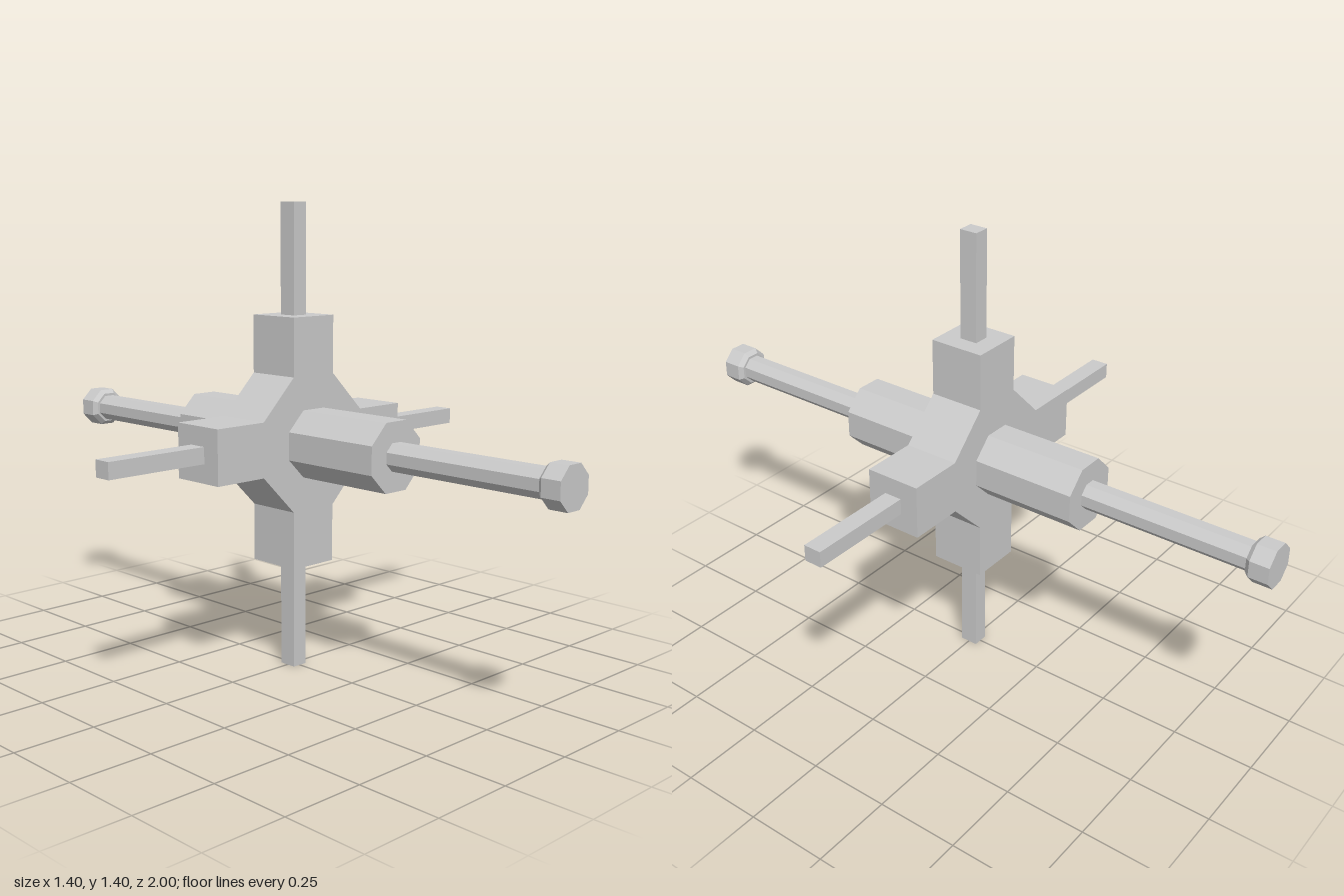
import * as THREE from 'three';

const CENTER_Y = 0.702;

export function createModel() {
  const model = new THREE.Group();
  const core = new THREE.Group();
  core.name = 'core';
  core.position.y = CENTER_Y;
  model.add(core);

  const material = new THREE.MeshStandardMaterial({ color: 0xcccccc, flatShading: true });
  const add = (name, geometry) => {
    const mesh = new THREE.Mesh(geometry, material);
    mesh.name = name;
    core.add(mesh);
    return mesh;
  };

  // Cross-shaped hub with chamfered inner corners
  const half = 0.081, reach = 0.373, web = 0.2, depth = 0.172;
  const quarter = [[reach, -half], [reach, half], [web, half], [half, web]];
  const outline = [];
  for (let i = 0; i < 4; i++) {
    for (const [x, y] of quarter) {
      outline.push(new THREE.Vector2(x, y).rotateAround(new THREE.Vector2(), i * Math.PI / 2));
    }
    // chamfer end of the next arm's near side
    outline.push(new THREE.Vector2(web, -half).rotateAround(new THREE.Vector2(), (i + 1) * Math.PI / 2));
  }
  // the chamfer corner coincides with the arm's own corner, so drop duplicates
  const clean = outline.filter((p, i) => p.distanceTo(outline[(i + 1) % outline.length]) > 1e-4);
  const hub = new THREE.ExtrudeGeometry(new THREE.Shape(clean), { depth, bevelEnabled: false });
  hub.translate(0, 0, -depth / 2);
  add('crossHub', hub);

  // Four thin square rods, one from each arm
  const inner = reach - 0.03, outer = 0.702;
  ['leftRod', 'topRod', 'rightRod', 'bottomRod'].forEach((name, i) => {
    const rod = new THREE.BoxGeometry(outer - inner, 0.049, 0.056);
    rod.translate((inner + outer) / 2, 0, 0);
    rod.rotateZ(i * Math.PI / 2);
    add(name, rod);
  });

  // Octagonal parts along z; radii are measured to the flats
  const octagon = (profile) => {
    const k = 1 / Math.cos(Math.PI / 8);
    const points = profile.map(([r, z]) => new THREE.Vector2(r * k, z));
    return new THREE.LatheGeometry(points, 8, Math.PI / 8).rotateX(Math.PI / 2);
  };
  add('barrel', octagon([[0, -0.412], [0.1, -0.412], [0.1, 0.412], [0, 0.412]]));

  // Front and back shafts with tapered end caps
  ['front', 'back'].forEach((side, i) => {
    const shaft = add(side + 'Shaft', octagon([[0.04, 0.4], [0.04, 0.95]]));
    const cap = add(side + 'Cap',
      octagon([[0.04, 0.928], [0.048, 0.928], [0.06, 0.942], [0.06, 1], [0, 1]]));
    shaft.rotation.y = cap.rotation.y = i * Math.PI;
  });

  return model;
}
